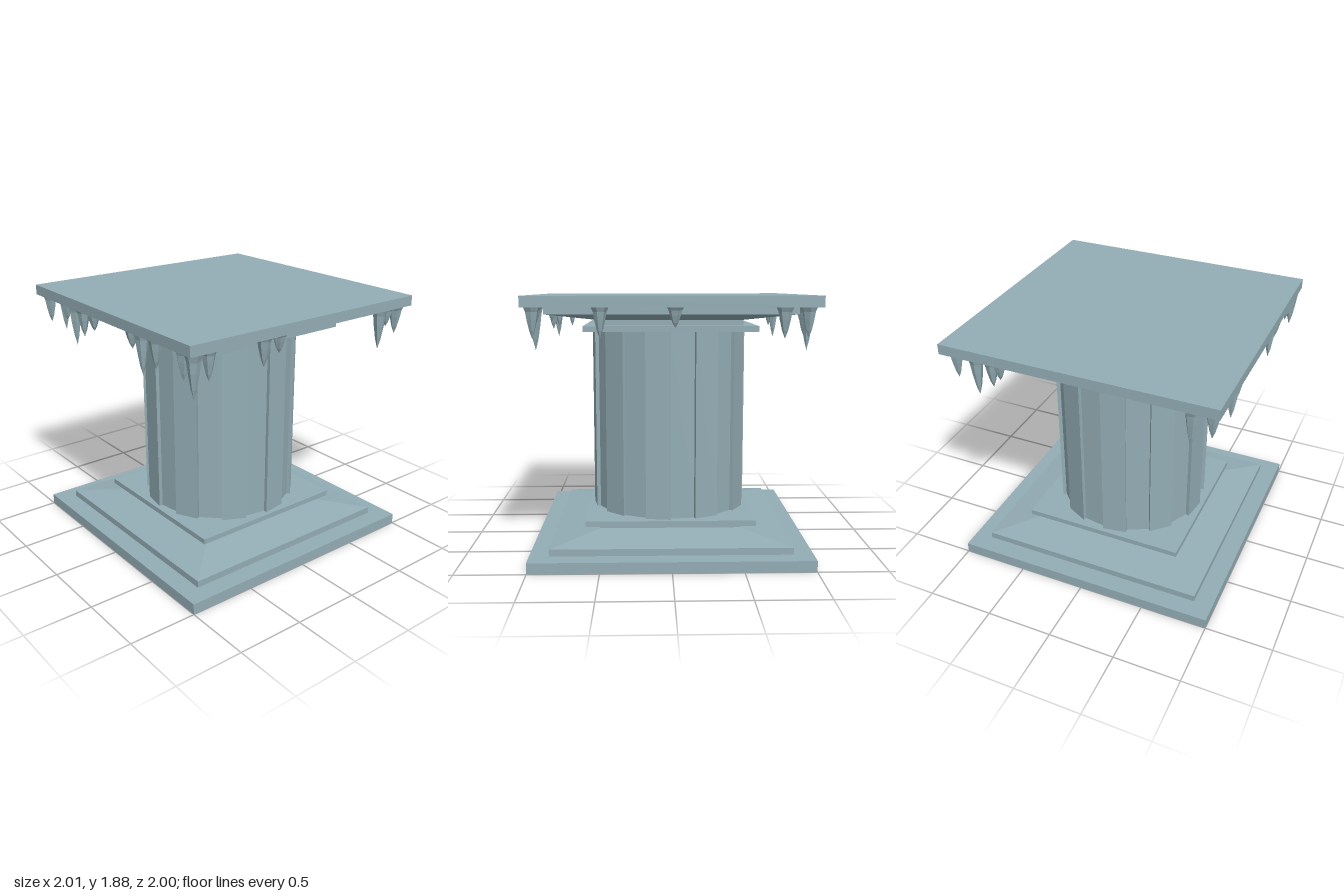
import * as THREE from 'three';

export function createModel() {
  const model = new THREE.Group();
  const stone = new THREE.MeshStandardMaterial({ color: 0x93adb5, flatShading: true });

  function add(name, geometry, x = 0, y = 0, z = 0, parent = model) {
    const mesh = new THREE.Mesh(geometry, stone);
    mesh.name = name;
    mesh.position.set(x, y, z);
    parent.add(mesh);
    return mesh;
  }

  // Square stepped solid from a [halfWidth, y] profile running upward
  function squareLathe(profile) {
    const points = profile.map(([h, y]) => new THREE.Vector2(h * Math.SQRT2, y));
    return new THREE.LatheGeometry(points, 4, Math.PI / 4).toNonIndexed();
  }

  // Base and capital: mirrored slabs with a sloped step
  add('base', squareLathe([
    [0, 0], [1, 0], [1, 0.08], [0.86, 0.08], [0.86, 0.13], [0.52, 0.18],
    [0.52, 0.22], [0.62, 0.22], [0.62, 0.26], [0, 0.26],
  ]));
  add('capital', squareLathe([
    [0, 1.63], [0.62, 1.63], [0.62, 1.67], [0.52, 1.67], [0.52, 1.71], [0.86, 1.76],
    [0.86, 1.81], [1, 1.81], [1, 1.885], [0, 1.885],
  ]));

  // Fluted shaft: twenty facets, alternately recessed and raised
  const outline = [];
  for (let i = 0; i < 20; i++) {
    const radius = i % 2 ? 0.588 : 0.56;
    for (const k of [i, i + 1]) {
      const a = (k * Math.PI) / 10;
      outline.push(new THREE.Vector2(radius * Math.sin(a), -radius * Math.cos(a)));
    }
  }
  const shaft = new THREE.ExtrudeGeometry(new THREE.Shape(outline), { depth: 1.37, bevelEnabled: false });
  shaft.rotateX(-Math.PI / 2);
  add('shaft', shaft, 0, 0.26, 0);

  // Icicles: faceted tapering drips of three lengths
  function icicle(length) {
    const points = [[0, -1], [0.02, -0.75], [0.037, -0.4], [0.046, -0.15], [0.06, 0]]
      .map(([r, y]) => new THREE.Vector2(r, y * length));
    return new THREE.LatheGeometry(points, 6).toNonIndexed();
  }
  const sizes = { long: icicle(0.3), medium: icicle(0.21), short: icicle(0.14) };
  const icicles = new THREE.Group();
  icicles.name = 'icicles';
  model.add(icicles);

  // Positions [x, z] along the rim of the top slab
  const places = {
    long: [[-0.52, 0.93], [0.37, 0.93], [0.95, 0.94], [-0.93, 0.8], [-0.93, -0.75], [0.93, -0.74]],
    medium: [[-0.91, 0.93], [-0.4, 0.93], [0.53, 0.93], [0.83, 0.93], [0.93, 0.81], [0.93, 0.36],
      [0.93, -0.91], [0.48, -0.93], [-0.75, -0.93], [-0.91, -0.92], [-0.93, -0.63]],
    short: [[-0.65, 0.93], [-0.27, 0.92], [0.25, 0.93], [0.93, 0.23], [0.93, -0.81],
      [-0.02, -0.93], [-0.93, -0.57]],
  };
  for (const size in places) {
    places[size].forEach(([x, z], i) => {
      add(`${size}Icicle`, sizes[size], x, 1.811, z, icicles).rotation.y = i * 0.7;
    });
  }
  return model;
}
